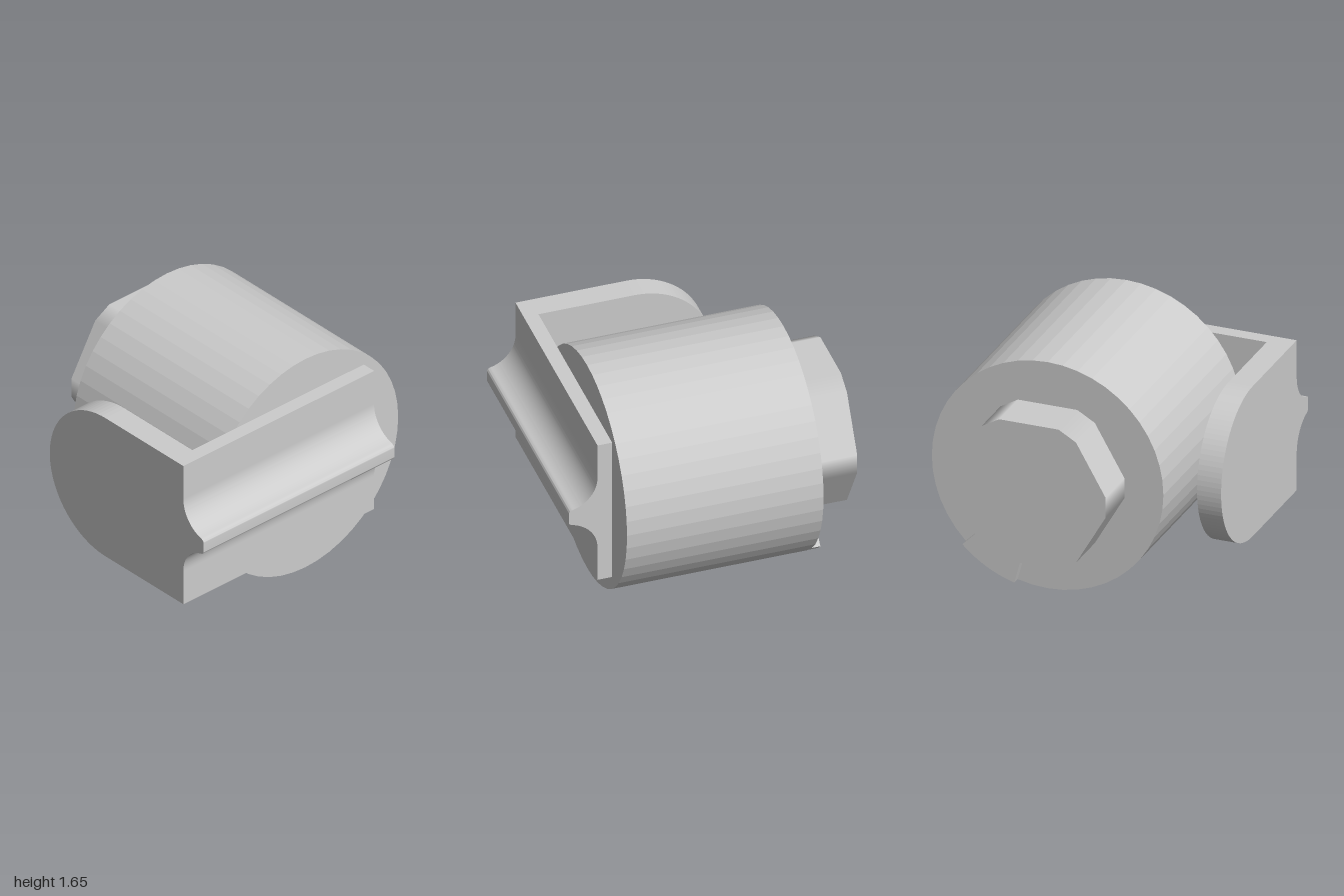
import * as THREE from 'three';
import { toCreasedNormals } from 'three/addons/utils/BufferGeometryUtils.js';

const CX = 0.175, CY = 0.826; // axis of the drum

export function createModel() {
  const group = new THREE.Group();
  const grey = new THREE.MeshStandardMaterial({ color: 0xcccccc });
  grey.name = 'plain grey';

  const add = (name, geometry) => {
    const mesh = new THREE.Mesh(geometry, grey);
    mesh.name = name;
    group.add(mesh);
    return mesh;
  };
  const extrude = (shape, depth, curveSegments = 12) =>
    new THREE.ExtrudeGeometry(shape, { depth, bevelEnabled: false, curveSegments });
  // extrude a (-z, y) profile along x, from x0 to x1
  const alongX = (shape, x0, x1, segments) =>
    extrude(shape, x1 - x0, segments).rotateY(Math.PI / 2).translate(x0, 0, 0);

  // faceted drum
  const drumShape = new THREE.Shape().absarc(0, 0, 0.826, 0, Math.PI * 2);
  add('drum', extrude(drumShape, 1.37, 24).translate(CX, CY, -0.672));

  // hexagonal boss with softly shaded, trimmed corners
  const apothem = 0.511, corner = apothem / Math.cos(Math.PI / 6), trim = 0.083 / corner;
  const at = (k) => new THREE.Vector2(Math.cos(k * Math.PI / 3), Math.sin(k * Math.PI / 3)).multiplyScalar(corner);
  const points = [];
  for (let k = 0; k < 6; k++) {
    points.push(at(k).lerp(at(k - 1), trim), at(k).lerp(at(k + 1), trim));
  }
  const boss = extrude(new THREE.Shape(points), 0.335);
  const pos = boss.attributes.position, nor = boss.attributes.normal;
  for (let i = 0; i < pos.count; i++) {
    if (Math.abs(nor.getZ(i)) > 0.5) continue;
    // each side vertex takes the normal of its nearest main face
    const sector = Math.floor(Math.atan2(pos.getY(i), pos.getX(i)) / (Math.PI / 3));
    const a = (sector + 0.5) * Math.PI / 3;
    nor.setXYZ(i, Math.cos(a), Math.sin(a), 0);
  }
  add('hexBoss', boss.translate(CX, CY + 0.003, -1));

  // small stop on the back rim
  const a0 = -Math.PI * 75 / 180, a1 = -Math.PI / 4;
  const stop = new THREE.Shape();
  stop.absarc(0, 0, 0.825, a0, a1, false);
  stop.absarc(0, 0, 0.573, a1, a0, true);
  add('rimStop', extrude(stop, 0.07, 6).translate(CX, CY, -0.732));

  // front plate
  add('frontPlate', new THREE.BoxGeometry(1.695, 1.096, 0.102).translate(-0.1525, 0.829, 0.749));

  // side arm with a round end
  const arm = new THREE.Shape();
  arm.moveTo(-0.8, 0.281);
  arm.lineTo(-0.03, 0.281);
  arm.absarc(-0.03, 0.829, 0.548, -Math.PI / 2, Math.PI / 2, false);
  arm.lineTo(-0.8, 1.377);
  add('sideArm', alongX(arm, -1, -0.828, 24));

  // flared rib along the front plate
  const mid = 0.829, r = 0.23, rise = 0.284, sweep = 1.31;
  const rib = new THREE.Shape();
  rib.moveTo(-0.79, mid - rise);
  rib.lineTo(-0.8, mid - rise);
  rib.absarc(-0.8 - r, mid - rise, r, 0, sweep, false);
  rib.quadraticCurveTo(-1, mid - 0.053, -1, mid - 0.035);
  rib.lineTo(-1, mid + 0.035);
  rib.quadraticCurveTo(-1, mid + 0.053, -0.8 - r + r * Math.cos(sweep), mid + rise - r * Math.sin(sweep));
  rib.absarc(-0.8 - r, mid + rise, r, -sweep, 0, false);
  rib.lineTo(-0.79, mid + rise);
  add('frontRib', toCreasedNormals(alongX(rib, -1, 0.695, 16), 0.7));

  return group;
}
